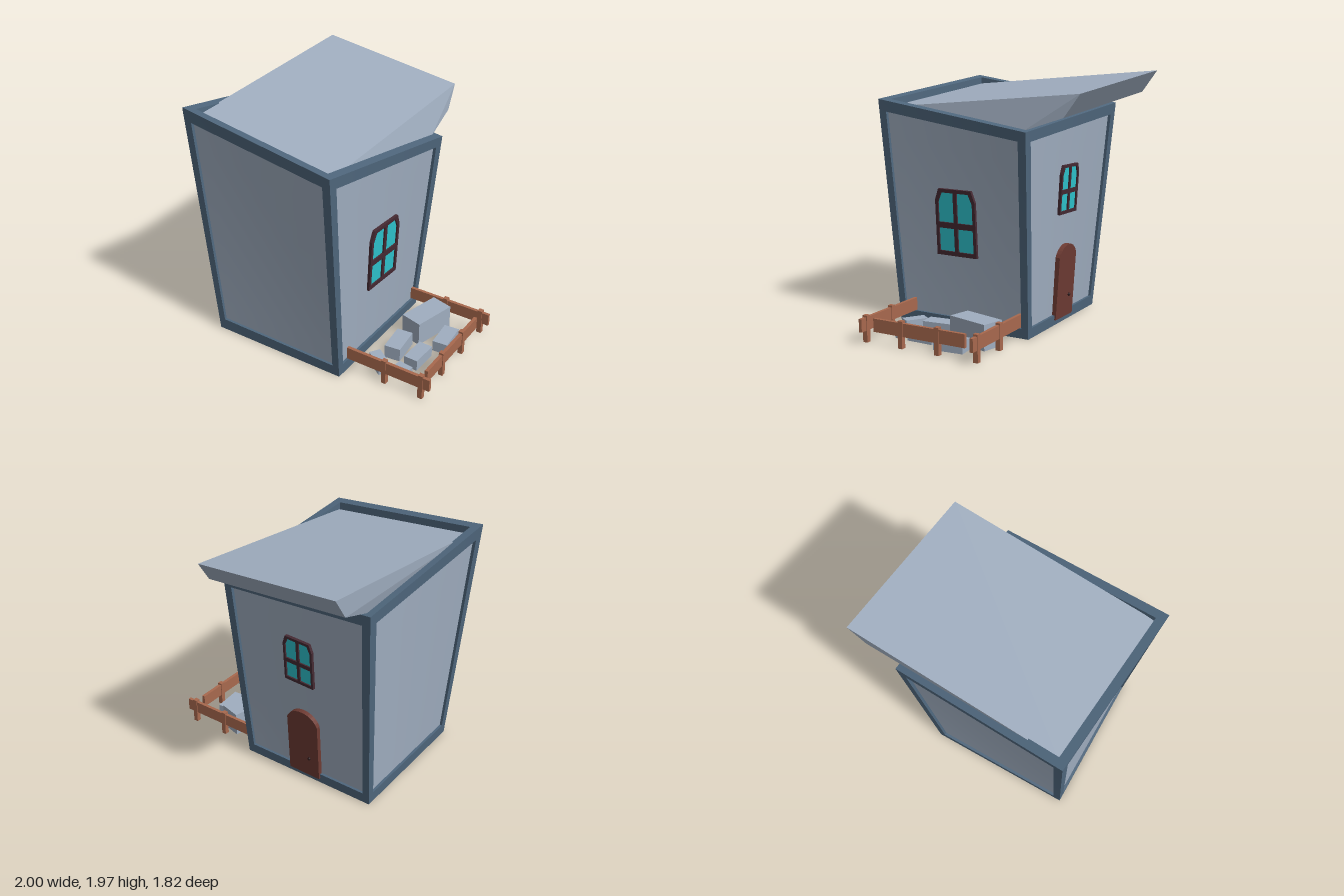
import * as THREE from 'three';
import { ConvexGeometry } from 'three/addons/geometries/ConvexGeometry.js';

const V = (x, y, z) => new THREE.Vector3(x, y, z);
const mat = (name, color) => {
  const m = new THREE.MeshStandardMaterial({ color });
  m.name = name;
  return m;
};

// House corners [back left-hand, back right-hand, front left-hand, front right-hand] seen from the front
const BOTTOM = [V(-0.85, 0, -0.39), V(0.3, 0, -0.39), V(-0.85, 0, 0.76), V(0.3, 0, 0.76)];
const TOP = [V(-0.9, 1.7, -0.55), V(0.45, 1.555, -0.44), V(-1, 1.9, 0.8), V(0.35, 1.75, 0.91)];

// Maps unit-cube coordinates into the twisted, flaring house volume
function housePoint(u, v, w) {
  const level = (c) => c[0].clone().lerp(c[1], u).lerp(c[2].clone().lerp(c[3], u), w);
  return level(BOTTOM).lerp(level(TOP), v);
}

// Box given in house coordinates, bent to follow the house
function warpedBox(a, b, segments = 8) {
  const g = new THREE.BoxGeometry(1, 1, 1, segments, segments, segments);
  const p = g.attributes.position;
  const at = (i, t) => a[i] + (b[i] - a[i]) * (t + 0.5);
  for (let i = 0; i < p.count; i++) {
    const q = housePoint(at(0, p.getX(i)), at(1, p.getY(i)), at(2, p.getZ(i)));
    p.setXYZ(i, q.x, q.y, q.z);
  }
  g.computeVertexNormals();
  return g;
}

function polygon(points, Type = THREE.Shape) {
  return new Type(points.map(([x, y]) => new THREE.Vector2(x, y)));
}

export function createModel() {
  const model = new THREE.Group();
  model.name = 'crookedHouse';

  const stone = mat('pale blue grey', 0xa0aec0);
  const timber = mat('slate blue', 0x4f677d);
  const darkWood = mat('dark maroon', 0x452a33);
  const glass = mat('cyan glass', 0x2ec4ce);
  const fenceWood = mat('orange brown wood', 0xa8694e);
  const doorWood = mat('red brown wood', 0x6e3b33);
  const metal = mat('dark knob', 0x2a1719);

  const add = (parent, name, geometry, material, x = 0, y = 0, z = 0) => {
    const m = new THREE.Mesh(geometry, material);
    m.name = name;
    m.position.set(x, y, z);
    parent.add(m);
    return m;
  };
  const group = (name) => {
    const g = new THREE.Group();
    g.name = name;
    model.add(g);
    return g;
  };

  // Walls, slightly behind the frame
  add(model, 'walls', warpedBox([0.018, 0.02, 0.018], [0.982, 0.955, 0.982]), stone);

  // Frame: base slab, corner posts and top rim
  const frame = group('frame');
  const t = 0.05;
  add(frame, 'baseSlab', warpedBox([0, 0, 0], [1, t, 1]), timber);
  for (const u of [0, 1 - t]) {
    for (const w of [0, 1 - t]) add(frame, 'cornerPost', warpedBox([u, t, w], [u + t, 1 - t, w + t]), timber);
    add(frame, 'sideTopBeam', warpedBox([u, 1 - t, 0], [u + t, 1, 1]), timber);
    add(frame, 'crossTopBeam', warpedBox([t, 1 - t, u], [1 - t, 1, u + t]), timber);
  }

  // Wedge roof sunk into the rim at the front and overhanging the back
  const roofPoints = [
    V(-0.93, 1.83, 0.73), V(-0.87, 1.965, -0.91), V(-0.865, 1.795, -0.79), V(-0.85, 1.695, -0.5), V(-0.92, 1.79, 0.72),
    V(0.29, 1.69, 0.83), V(0.345, 1.83, -0.81), V(0.36, 1.66, -0.69), V(0.385, 1.56, -0.39), V(0.29, 1.65, 0.82),
  ];
  add(model, 'roof', new ConvexGeometry(roofPoints), stone);

  // Upright group facing out of a wall
  const onWall = (name, u, v, w, outward) => {
    const g = group(name);
    const along = outward.x ? [0, 1] : [1, 0];
    const p = housePoint(u, v, w);
    const side = housePoint(u + 0.01 * along[0], v, w + 0.01 * along[1]).sub(p);
    const rise = housePoint(u, v + 0.01, w).sub(p);
    const n = side.cross(rise).normalize();
    if (n.dot(outward) < 0) n.negate();
    g.position.copy(p);
    g.lookAt(p.clone().add(n));
    return g;
  };

  // Four-pane window with clipped upper corners
  const windowOn = (name, u, v, w, outward, scale) => {
    const g = onWall(name, u, v, w, outward);
    const shape = polygon([[-0.18, -0.258], [0.18, -0.258], [0.18, 0.17], [0.148, 0.258], [-0.148, 0.258], [-0.18, 0.17]]);
    for (const s of [-1, 1]) {
      shape.holes.push(polygon([[0.016, -0.225], [0.155, -0.225], [0.155, -0.045], [0.016, -0.045]].map(([x, y]) => [x * s, y]), THREE.Path));
      shape.holes.push(polygon([[0.016, 0], [0.155, 0], [0.155, 0.155], [0.122, 0.23], [0.016, 0.23]].map(([x, y]) => [x * s, y]), THREE.Path));
    }
    const depth = 0.035 / scale;
    add(g, 'windowFrame', new THREE.ExtrudeGeometry(shape, { depth, bevelEnabled: false }), darkWood, 0, 0, -depth);
    add(g, 'windowGlass', new THREE.PlaneGeometry(0.32, 0.47), glass, 0, 0, -0.012);
    g.scale.set(scale, scale, 1);
  };
  windowOn('sideWindow', 1, 0.503, 0.5, V(1, 0, 0), 1);
  windowOn('backWindow', 0.5, 0.657, 0, V(0, 0, -1), 0.74);

  // Arched door with knob
  const door = onWall('door', 0.5, 0.21, 0, V(0, 0, -1));
  const doorShape = new THREE.Shape();
  doorShape.moveTo(-0.14, -0.3);
  doorShape.lineTo(0.14, -0.3);
  doorShape.lineTo(0.14, 0.2);
  doorShape.bezierCurveTo(0.09, 0.32, -0.09, 0.32, -0.14, 0.2);
  add(door, 'doorLeaf', new THREE.ExtrudeGeometry(doorShape, { depth: 0.045, bevelEnabled: false }), doorWood, 0, 0, -0.03);
  add(door, 'doorKnob', new THREE.SphereGeometry(0.013, 10, 8), metal, 0.055, -0.13, 0.018);

  // Fence: three rails and six posts
  const fence = group('fence');
  for (const z of [-0.322, 0.625]) {
    add(fence, 'sideRail', new THREE.BoxGeometry(0.71, 0.1, 0.026), fenceWood, 0.645, 0.14, z);
  }
  add(fence, 'endRail', new THREE.BoxGeometry(0.026, 0.1, 0.785), fenceWood, 0.926, 0.14, 0.16);
  for (const [x, z] of [[0.615, -0.322], [0.926, -0.322], [0.926, 0], [0.926, 0.312], [0.926, 0.625], [0.615, 0.625]]) {
    add(fence, 'fencePost', new THREE.BoxGeometry(0.038, 0.205, 0.038), fenceWood, x, 0.1025, z);
  }

  // Stone blocks in the yard: x, z, width, depth, height, turn
  const blocks = group('stoneBlocks');
  for (const [x, z, w, d, h, turn] of [
    [0.563, -0.095, 0.182, 0.355, 0.195, -0.25],
    [0.78, -0.022, 0.12, 0.235, 0.09, 0.085],
    [0.51, 0.245, 0.13, 0.24, 0.11, 0.11],
    [0.7, 0.272, 0.114, 0.22, 0.09, -0.03],
    [0.49, 0.495, 0.178, 0.09, 0.09, -0.6],
    [0.685, 0.463, 0.122, 0.062, 0.07, -0.12],
  ]) {
    add(blocks, 'stoneBlock', new THREE.BoxGeometry(w, h, d), stone, x, h / 2, z).rotation.y = turn;
  }

  return model;
}
